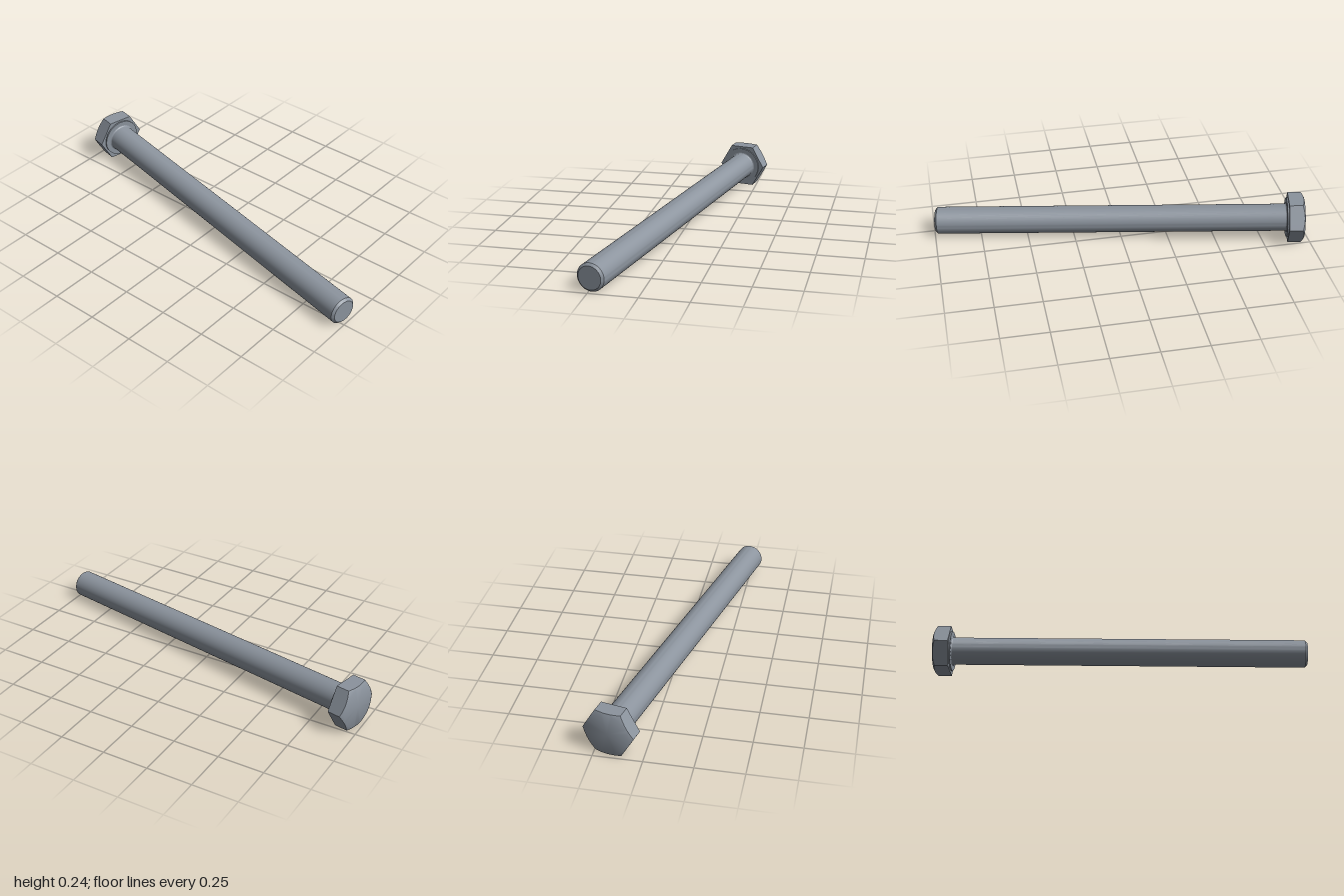
import * as THREE from 'three';
import { toCreasedNormals } from 'three/addons/utils/BufferGeometryUtils.js';

const HEAD = 0.086, WASHER = 0.0942, LENGTH = 2.008;
const APOTHEM = 0.1178, TOP_R = 0.112, SHANK_R = 0.0736;

// Hexagonal prism whose outer end (y = 0) is trimmed by a 30 degree cone
function hexHead() {
  const n = 48, sixth = Math.PI / 3;
  const hexR = (t) => APOTHEM / Math.cos(((t + sixth / 2) % sixth) - sixth / 2);
  const ring = (j) => {
    const t = ((j % n) / n) * Math.PI * 2 + 1e-9;
    const R = hexR(t);
    const at = (r, y) => [r * Math.cos(t), y, r * Math.sin(t)];
    return [at(0, 0), at(TOP_R, 0), at(R, (R - TOP_R) * Math.tan(Math.PI / 6)), at(R, HEAD), at(0, HEAD)];
  };
  const pos = [];
  for (let j = 0; j < n; j++) {
    const a = ring(j), b = ring(j + 1);
    for (let i = 0; i < 4; i++) {
      if (i > 0) pos.push(...a[i], ...b[i + 1], ...b[i]);
      if (i < 3) pos.push(...a[i], ...a[i + 1], ...b[i + 1]);
      if (i === 0) pos.splice(pos.length - 9, 9, ...a[0], ...a[1], ...b[1]);
    }
  }
  const geo = new THREE.BufferGeometry();
  geo.setAttribute('position', new THREE.Float32BufferAttribute(pos, 3));
  return toCreasedNormals(geo, 0.6);
}

function lathe(points) {
  const profile = points.map(([r, y]) => new THREE.Vector2(r, y));
  return toCreasedNormals(new THREE.LatheGeometry(profile, 64), 0.6);
}

export function createModel() {
  const steel = new THREE.MeshStandardMaterial({ color: 0x8c949e });
  steel.name = 'steel';
  const model = new THREE.Group();
  model.name = 'hexBolt';
  const bolt = new THREE.Group();
  bolt.name = 'bolt';
  model.add(bolt);
  const add = (name, geo) => {
    const mesh = new THREE.Mesh(geo, steel);
    mesh.name = name;
    bolt.add(mesh);
  };

  add('head', hexHead());

  // Raised bearing face under the head
  add('washerFace', lathe([[0.107, HEAD - 0.002], [0.107, WASHER], [0.06, WASHER]]));

  // Shank with a small fillet at the head and a chamfered tip
  const f = 0.008, shank = [];
  for (let i = 0; i <= 4; i++) {
    const a = (i / 4) * Math.PI / 2;
    shank.push([SHANK_R + f * (1 - Math.sin(a)), WASHER + f * (1 - Math.cos(a))]);
  }
  shank.push([SHANK_R, LENGTH - 0.012], [0.0615, LENGTH], [0, LENGTH]);
  add('shank', lathe(shank));

  // Lay the bolt down: it rests on a head flat and on its tip
  const start = new THREE.Vector3(-0.976, 0.1195, -0.179);
  const end = new THREE.Vector3(0.986, 0.0735, 0.241);
  const axis = end.sub(start).normalize();
  const side = new THREE.Vector3().crossVectors(axis, new THREE.Vector3(0, 1, 0)).normalize();
  const up = new THREE.Vector3().crossVectors(axis, side);
  bolt.quaternion.setFromRotationMatrix(new THREE.Matrix4().makeBasis(up, axis, side));
  bolt.position.copy(start);
  return model;
}
